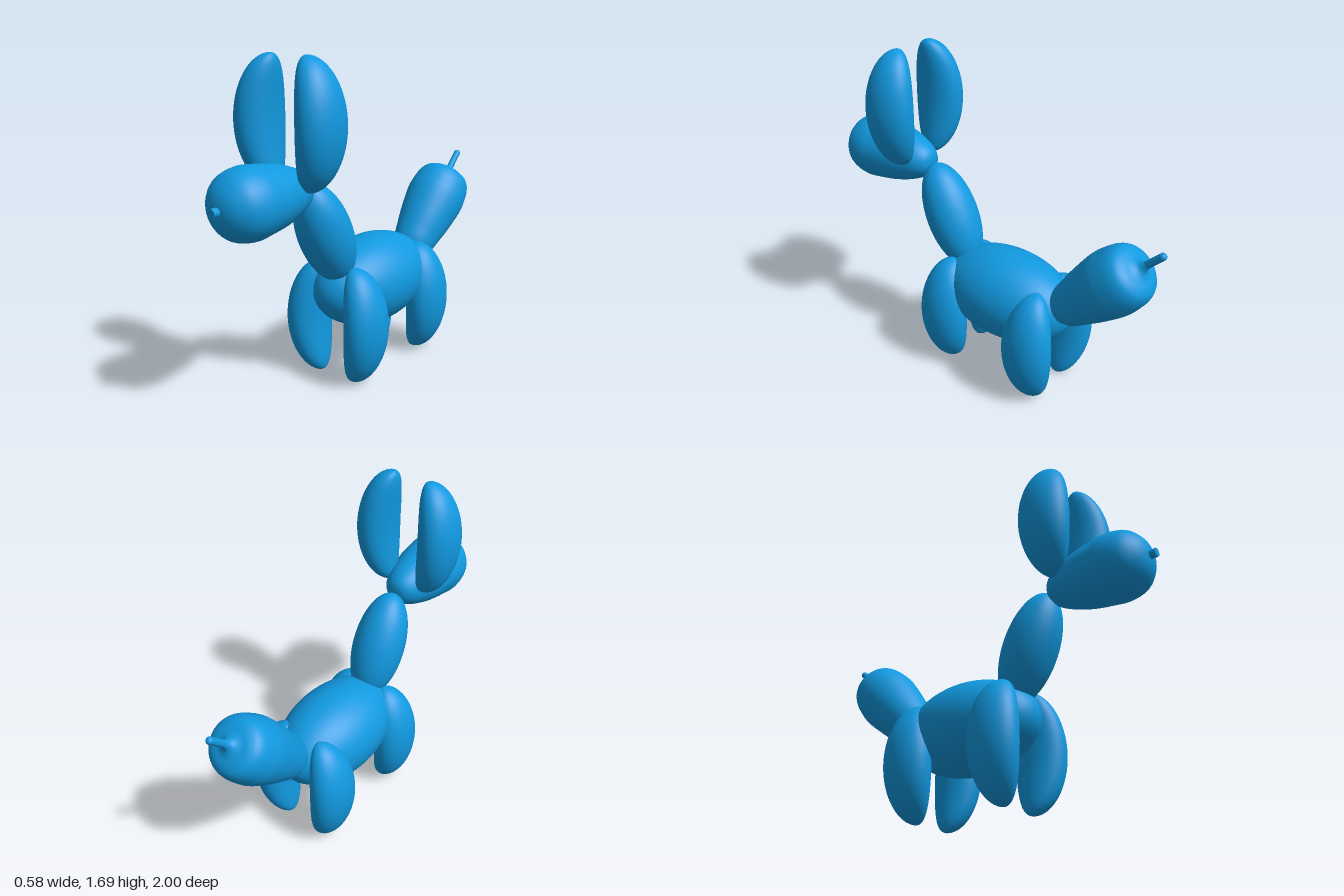
import * as THREE from 'three';
import { mergeVertices } from 'three/addons/utils/BufferGeometryUtils.js';

const material = new THREE.MeshStandardMaterial({ color: 0x1199e0 });

function add(parent, name, geometry, x, y, z, tilt = 0) {
  const mesh = new THREE.Mesh(geometry, material);
  mesh.name = name;
  mesh.position.set(x, y, z);
  mesh.rotation.x = tilt;
  parent.add(mesh);
  return mesh;
}

// Smooth lathe from [radius, height] points, refined with a curve
function balloon(points, steps = 40) {
  const curve = new THREE.SplineCurve(points.map(([r, h]) => new THREE.Vector2(r, h)));
  const profile = curve.getPoints(steps).map(p => new THREE.Vector2(Math.max(p.x, 0), p.y));
  return new THREE.LatheGeometry(profile, 40);
}

// Half-moon balloon: round outside, nearly straight inside, tips turned inward
function bentBalloon(side) {
  let geometry = new THREE.SphereGeometry(1, 40, 32);
  const p = geometry.attributes.position;
  for (let i = 0; i < p.count; i++) {
    const y = p.getY(i);
    const c = Math.sqrt(Math.max(0, 1 - y * y));
    const u = c > 1e-4 ? p.getX(i) / c : 0;
    const outer = 0.11 + 0.178 * c;
    const inner = 0.11 - 0.1 * c + 0.08 * c * c;
    p.setXYZ(i, side * (outer + inner) / 2 + u * (outer - inner) / 2, y * 0.31, p.getZ(i) * 0.14);
  }
  geometry.deleteAttribute('uv');
  geometry.deleteAttribute('normal');
  geometry = mergeVertices(geometry, 1e-5);
  geometry.computeVertexNormals();
  return geometry;
}

export function createModel() {
  const model = new THREE.Group();
  model.name = 'balloonDog';

  // Body and leaning neck
  const ball = (x, y, z) => new THREE.SphereGeometry(1, 48, 32).scale(x, y, z);
  add(model, 'body', ball(0.24, 0.24, 0.4), 0, 0.47, -0.115);
  add(model, 'neck', ball(0.14, 0.296, 0.14), 0, 0.805, 0.265, 0.43);

  // Head, widest toward the muzzle, with a knot for a nose
  add(model, 'head', balloon([
    [0, 0.4], [0.05, 0.41], [0.09, 0.45], [0.125, 0.53], [0.15, 0.62], [0.165, 0.72],
    [0.172, 0.8], [0.152, 0.885], [0.1, 0.94], [0.05, 0.963], [0, 0.97],
  ]), 0, 1.07, 0, Math.PI / 2);
  add(model, 'nose', new THREE.CylinderGeometry(0.022, 0.022, 0.06, 16), 0, 1.07, 0.97, Math.PI / 2);

  // Ears and legs in mirrored pairs
  for (const [side, label] of [[1, 'left'], [-1, 'right']]) {
    const geometry = bentBalloon(side);
    add(model, label + 'Ear', geometry, 0, 1.388, 0.505);
    add(model, label + 'FrontLeg', geometry, 0, 0.313, 0.175);
    add(model, label + 'HindLeg', geometry, 0, 0.313, -0.382);
  }

  // Tail widening to a blunt end, with the tied-off nozzle
  const tail = new THREE.Group();
  tail.name = 'tail';
  tail.position.set(0, 0.47, -0.42);
  tail.rotation.x = -0.8;
  model.add(tail);
  add(tail, 'tailBalloon', balloon([
    [0, -0.01], [0.045, 0.01], [0.105, 0.1], [0.13, 0.2], [0.15, 0.3], [0.168, 0.43],
    [0.165, 0.5], [0.155, 0.56], [0.135, 0.6], [0.1, 0.622], [0.06, 0.632], [0.03, 0.65], [0.018, 0.68],
  ], 48), 0, 0, 0);
  add(tail, 'tailNozzle', new THREE.CapsuleGeometry(0.019, 0.12, 6, 16), 0, 0.717, 0);

  return model;
}
